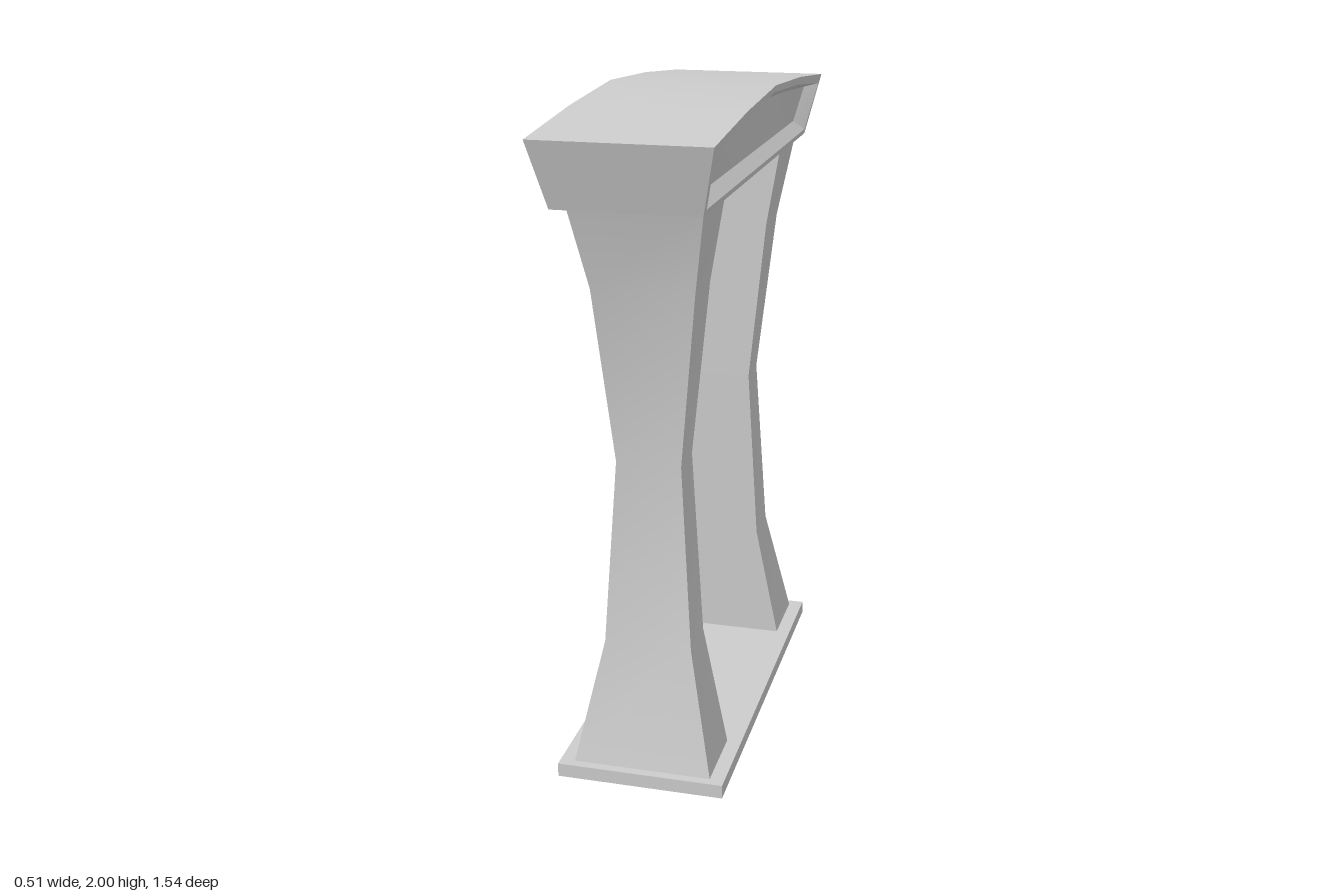
import * as THREE from 'three';
import { toCreasedNormals } from 'three/addons/utils/BufferGeometryUtils.js';

const material = new THREE.MeshStandardMaterial({ color: 0xcccccc });

// Collects counter-clockwise quads into a mesh, smooth over gentle bends and sharp at edges
function quadMesh(name, quads) {
  const pos = [];
  for (const [a, b, c, d] of quads) for (const p of [a, b, c, a, c, d]) pos.push(...p);
  const geo = new THREE.BufferGeometry();
  geo.setAttribute('position', new THREE.Float32BufferAttribute(pos, 3));
  const mesh = new THREE.Mesh(toCreasedNormals(geo, Math.PI / 6), material);
  mesh.name = name;
  return mesh;
}

const turn = ([x, y, z]) => [-x, y, -z];
const mirrorX = ([x, y, z]) => [-x, y, z];

// Flared pillar: flat inner face, waisted outer face and sides
function pillar(name) {
  const inner = 0.385;
  // [height, half width, outer z]
  const levels = [[0.04, 0.21, 0.615], [0.415, 0.132, 0.535], [0.98, 0.097, 0.51],
    [1.5, 0.15, 0.557], [1.755, 0.193, 0.632]];
  const rings = levels.map(([y, w, z]) => [[w, y, z], [w, y, inner], [-w, y, inner], [-w, y, z]]);
  const quads = [];
  for (let i = 0; i < rings.length - 1; i++) {
    for (let k = 0; k < 4; k++) {
      const n = (k + 1) % 4;
      quads.push([rings[i][k], rings[i][n], rings[i + 1][n], rings[i + 1][k]]);
    }
  }
  return quadMesh(name, quads);
}

// Arched lintel with sloped ends and a recessed, bevelled panel on each long side
function lintel() {
  // Top edge (heights at end, quarter, centre) and straight bottom edge of one outline
  function outline([e, q, c], topZ, bottomY, bottomZ, topX, bottomX) {
    const ys = [e, q, c, q, e];
    const f = [1, 0.5, 0, -0.5, -1];
    return {
      top: f.map((k, i) => [topX, ys[i], k * topZ]),
      bottom: f.map((k) => [bottomX, bottomY, k * bottomZ]),
    };
  }
  const outer = outline([1.942, 1.978, 2], 0.771, 1.75, 0.71, 0.253, 0.21);
  const rim = outline([1.915, 1.956, 1.979], 0.74, 1.767, 0.688, 0.248, 0.214);
  const panel = outline([1.906, 1.934, 1.952], 0.705, 1.797, 0.662, 0.206, 0.18);

  const side = [];
  // Frame, then bevel
  for (const [a, b] of [[outer, rim], [rim, panel]]) {
    const ra = [...a.top, ...a.bottom.slice().reverse()];
    const rb = [...b.top, ...b.bottom.slice().reverse()];
    ra.forEach((p, i) => {
      const n = (i + 1) % ra.length;
      side.push([p, rb[i], rb[n], ra[n]]);
    });
  }
  // Recessed panel
  for (let i = 0; i < 4; i++) {
    side.push([panel.top[i], panel.bottom[i], panel.bottom[i + 1], panel.top[i + 1]]);
  }
  // Sloped end
  const t = outer.top[0], b = outer.bottom[0];
  side.push([mirrorX(b), b, t, mirrorX(t)]);

  const quads = [...side, ...side.map((q) => q.map(turn))];
  // Arched top and flat underside
  for (let i = 0; i < 4; i++) {
    const [p, q] = [outer.top[i], outer.top[i + 1]];
    const [r, s] = [outer.bottom[i], outer.bottom[i + 1]];
    quads.push([p, q, mirrorX(q), mirrorX(p)], [mirrorX(r), mirrorX(s), s, r]);
  }
  return quadMesh('lintel', quads);
}

export function createModel() {
  const model = new THREE.Group();
  model.name = 'archway';

  // Base slab
  const base = new THREE.Mesh(new THREE.BoxGeometry(0.508, 0.042, 1.286), material);
  base.name = 'baseSlab';
  base.position.y = 0.021;

  // Pillars at front and back
  const back = pillar('backPillar');
  back.rotation.y = Math.PI;

  model.add(base, pillar('frontPillar'), back, lintel());
  return model;
}
